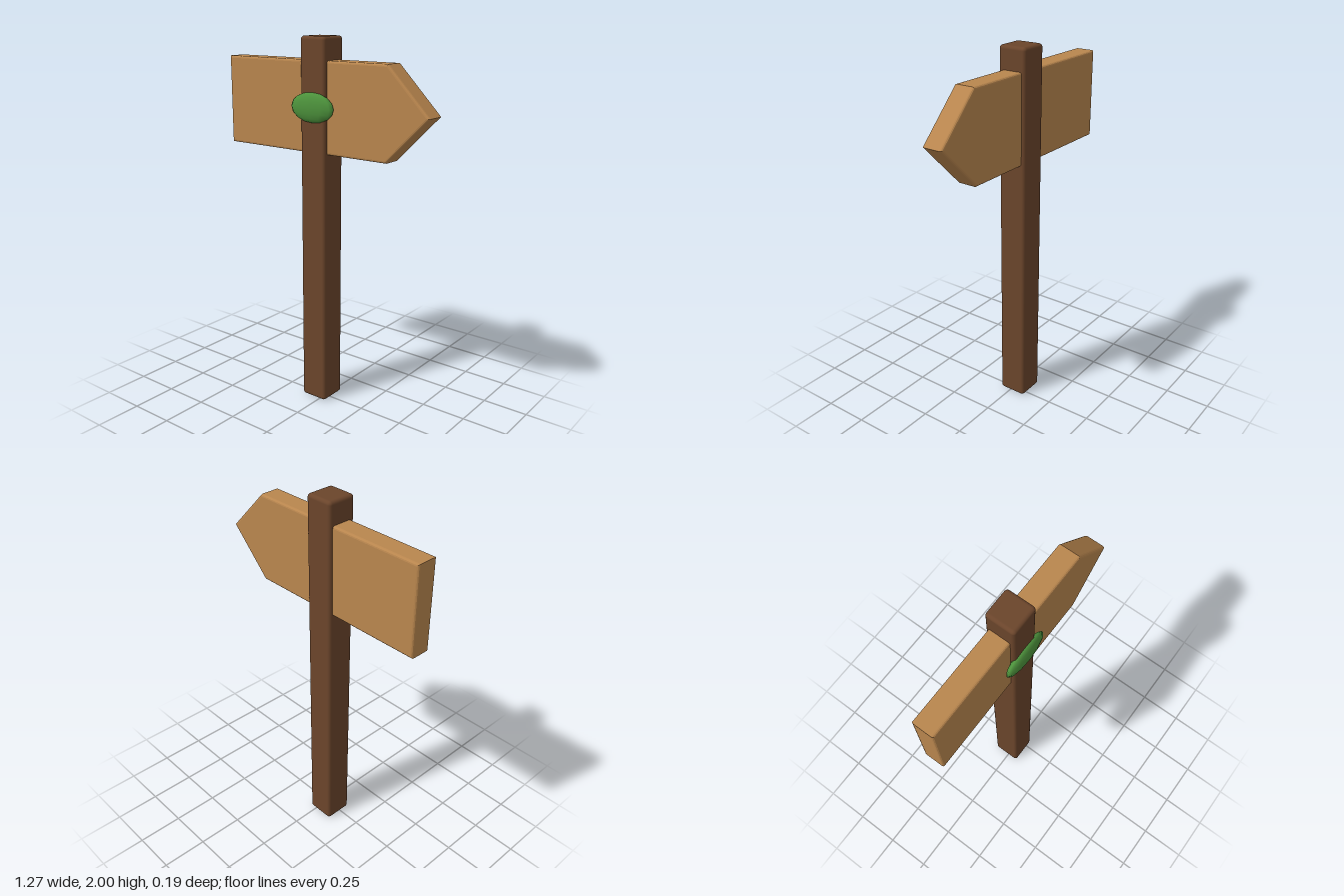
import * as THREE from 'three';
import { RoundedBoxGeometry } from 'three/addons/geometries/RoundedBoxGeometry.js';

const makeMaterial = (name, color) => {
  const material = new THREE.MeshStandardMaterial({ color });
  material.name = name;
  return material;
};

export function createModel() {
  const group = new THREE.Group();
  group.name = 'signpost';
  const darkWood = makeMaterial('dark wood', 0x6b452b);
  const lightWood = makeMaterial('light wood', 0xb9864e);
  const leafGreen = makeMaterial('leaf green', 0x4d933c);

  const add = (name, geometry, material, x, y, z) => {
    const mesh = new THREE.Mesh(geometry, material);
    mesh.name = name;
    mesh.position.set(x, y, z);
    group.add(mesh);
    return mesh;
  };

  const postX = -0.038;

  // Square post with softened edges
  add('post', new RoundedBoxGeometry(0.158, 2, 0.158, 3, 0.018), darkWood, postX, 1, -0.016);

  // Arrow-shaped board with bevelled edges, running through the post
  const bevel = 0.012;
  const depth = 0.116;
  const arrow = new THREE.Shape([
    [-0.635, -0.238], [0.4, -0.238], [0.637, 0], [0.4, 0.238], [-0.635, 0.238],
  ].map(([x, y]) => new THREE.Vector2(x, y)));
  const boardGeometry = new THREE.ExtrudeGeometry(arrow, {
    depth: depth - 2 * bevel,
    bevelThickness: bevel,
    bevelSize: bevel,
    bevelOffset: -bevel,
    bevelSegments: 3,
  });
  add('arrowBoard', boardGeometry, lightWood, 0, 1.643, -0.076 + bevel);

  // Flattened leaf on the front of the post
  const leaf = add('leaf', new THREE.SphereGeometry(1, 12, 8), leafGreen, postX, 1.645, 0.062);
  leaf.scale.set(0.138, 0.078, 0.029);

  return group;
}
